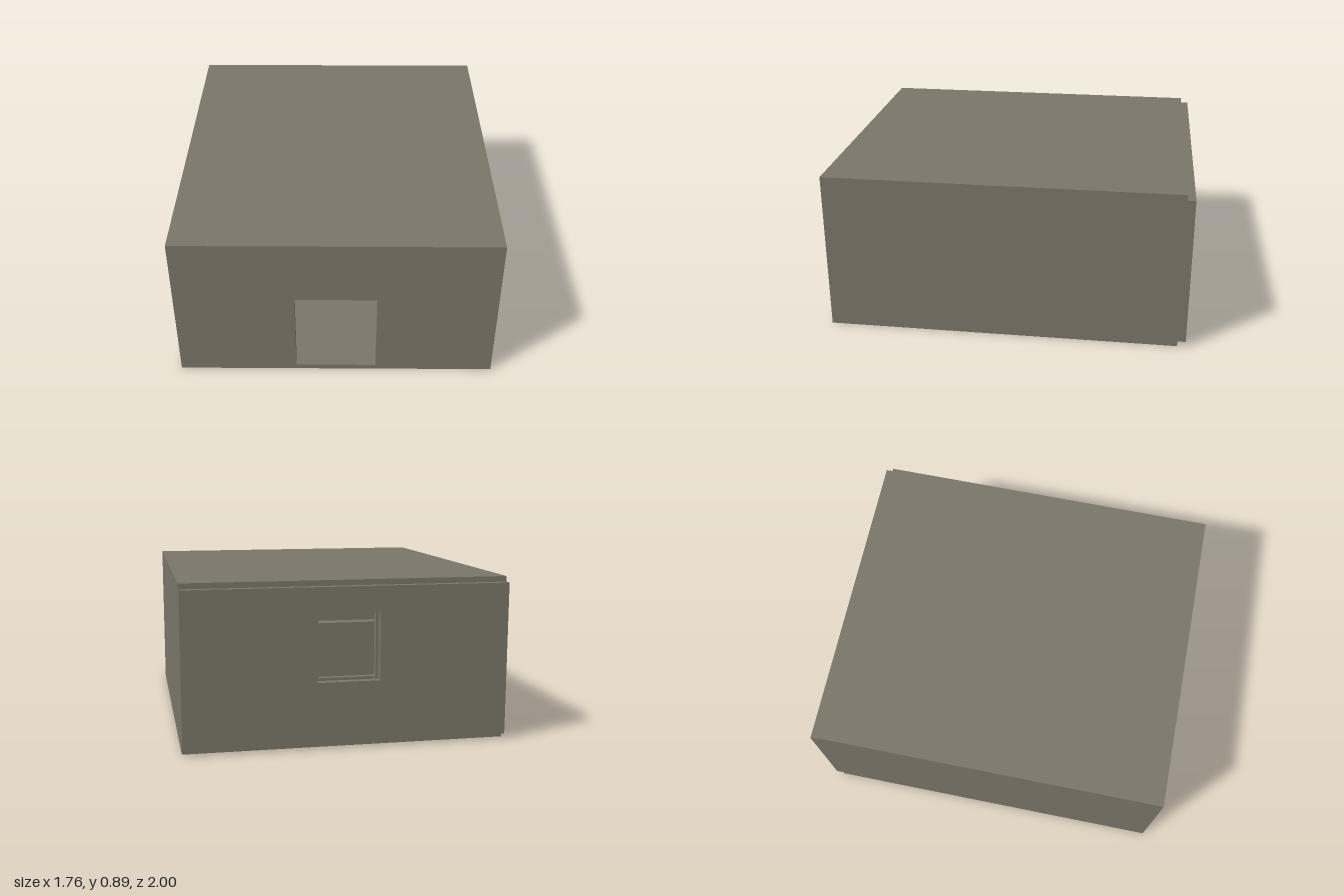
import * as THREE from 'three';

export function createModel() {
  const model = new THREE.Group();
  const stone = new THREE.MeshStandardMaterial({ color: 0x7a7568 });
  stone.name = 'warm grey';

  // Box given by its limits on each axis
  function box(name, [x0, x1], [y0, y1], [z0, z1], parent = model) {
    const mesh = new THREE.Mesh(new THREE.BoxGeometry(x1 - x0, y1 - y0, z1 - z0), stone);
    mesh.name = name;
    mesh.position.set((x0 + x1) / 2, (y0 + y1) / 2, (z0 + z1) / 2);
    parent.add(mesh);
    return mesh;
  }

  function trace(path, x, y0, y1) {
    path.moveTo(-x, y0);
    path.lineTo(x, y0);
    path.lineTo(x, y1);
    path.lineTo(-x, y1);
    path.closePath();
    return path;
  }

  // Upright slab with a rectangular opening
  function piercedWall(name, outer, opening, z, depth) {
    const shape = trace(new THREE.Shape(), ...outer);
    shape.holes.push(trace(new THREE.Path(), ...opening));
    const mesh = new THREE.Mesh(
      new THREE.ExtrudeGeometry(shape, { depth, bevelEnabled: false }), stone);
    mesh.name = name;
    mesh.position.z = z;
    model.add(mesh);
  }

  // Room shell
  const W = 0.88, T = 0.045, H = 0.895, S = 0.03;
  piercedWall('frontWall', [W, 0, H], [0.225, S, 0.525], 1 - T, T);
  piercedWall('backWall', [W, S, H - S], [0.17, 0.36, 0.73], -1, T);
  piercedWall('windowFrame', [0.193, 0.337, 0.753], [0.155, 0.375, 0.715], -1 + T, 0.035);
  box('floor', [-W, W], [0, S], [-1 + T, 1 - T]);
  box('ceiling', [-W, W], [H - S, H], [-1 + T, 1 - T]);
  box('rightWall', [-W, -W + T], [S, H - S], [-1 + T, 1 - T]);
  box('leftWall', [W - T, W], [S, H - S], [-1 + T, 1 - T]);

  // Counter across the room
  box('counterPanel', [-W + T, W - T], [S, 0.485], [0.107, 0.15]);
  box('counterTop', [-W + T, W - T], [0.485, 0.495], [0.09, 0.19]);

  // Long table in front of the counter, on pedestals
  box('tableApron', [-0.8, 0.8], [0.307, 0.365], [0.16, 0.33]);
  box('tableTop', [-0.82, 0.82], [0.365, 0.372], [0.155, 0.345]);
  for (const x of [-0.37, 0, 0.37]) {
    const pedestal = new THREE.Group();
    pedestal.name = 'tablePedestal';
    pedestal.position.x = x;
    box('foot', [-0.045, 0.045], [S, 0.067], [0.17, 0.31], pedestal);
    box('post', [-0.03, 0.03], [0.067, 0.307], [0.2, 0.28], pedestal);
    box('peg', [-0.007, 0.007], [0.22, 0.245], [0.28, 0.288], pedestal);
    model.add(pedestal);
  }

  // Leaning boards beside the doorway
  for (const x of [-0.46, -0.5]) {
    const board = box('leaningBoard', [-0.0125, 0.0125], [-0.125, 0.125], [-0.01, 0.01]);
    board.position.set(x, 0.15, 0.56);
    board.rotation.x = -0.45;
  }
  box('boardBlock', [-0.53, -0.44], [S, 0.05], [0.61, 0.65]);

  return model;
}
